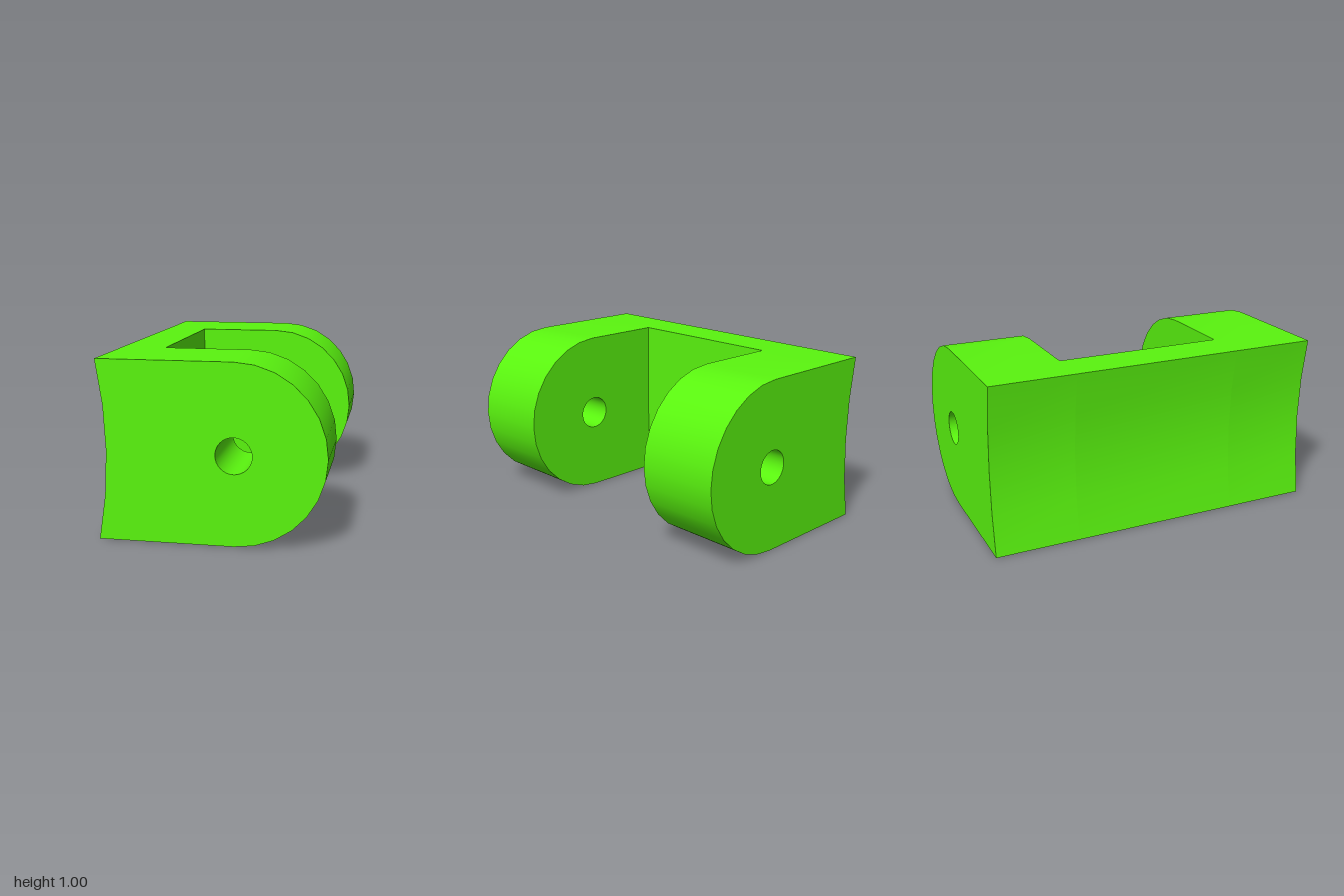
import * as THREE from 'three';
import { toCreasedNormals } from 'three/addons/utils/BufferGeometryUtils.js';

const material = new THREE.MeshStandardMaterial({ color: 0x5af50f });

// Points on a circular arc
function arc(cx, cy, r, from, to, segments) {
  return Array.from({ length: segments + 1 }, (_, i) => {
    const a = from + (to - from) * i / segments;
    return new THREE.Vector2(cx + r * Math.cos(a), cy + r * Math.sin(a));
  });
}

// Extrude a side profile along z, keeping curved walls smooth
function slab(name, shape, z, depth) {
  const geometry = new THREE.ExtrudeGeometry(shape, { depth, bevelEnabled: false });
  geometry.translate(0, 0, z);
  const mesh = new THREE.Mesh(toCreasedNormals(geometry, Math.PI / 5), material);
  mesh.name = name;
  return mesh;
}

export function createModel() {
  const group = new THREE.Group();
  group.name = 'clevisBracket';

  // Shallow hollow in the mounting face, running from top to bottom
  const radius = 2.525;
  const half = Math.asin(0.5 / radius);
  const hollow = arc(-0.575 - radius, 0.5, radius, half, -half, 4);

  // Arms: rounded end with a pin hole
  const armShape = new THREE.Shape([
    ...hollow,
    ...arc(0.125, 0.5, 0.5, -Math.PI / 2, Math.PI / 2, 14),
  ]);
  armShape.holes.push(new THREE.Path(arc(0.125, 0.5, 0.1, 0, -Math.PI * 2, 32).slice(0, -1)));
  group.add(slab('frontArm', armShape, 0.5, 0.5));
  group.add(slab('backArm', armShape, -1, 0.5));

  // Web joining the two arms
  const webShape = new THREE.Shape([
    ...hollow,
    new THREE.Vector2(-0.37, 0),
    new THREE.Vector2(-0.37, 1),
  ]);
  group.add(slab('web', webShape, -0.5, 1));

  return group;
}
